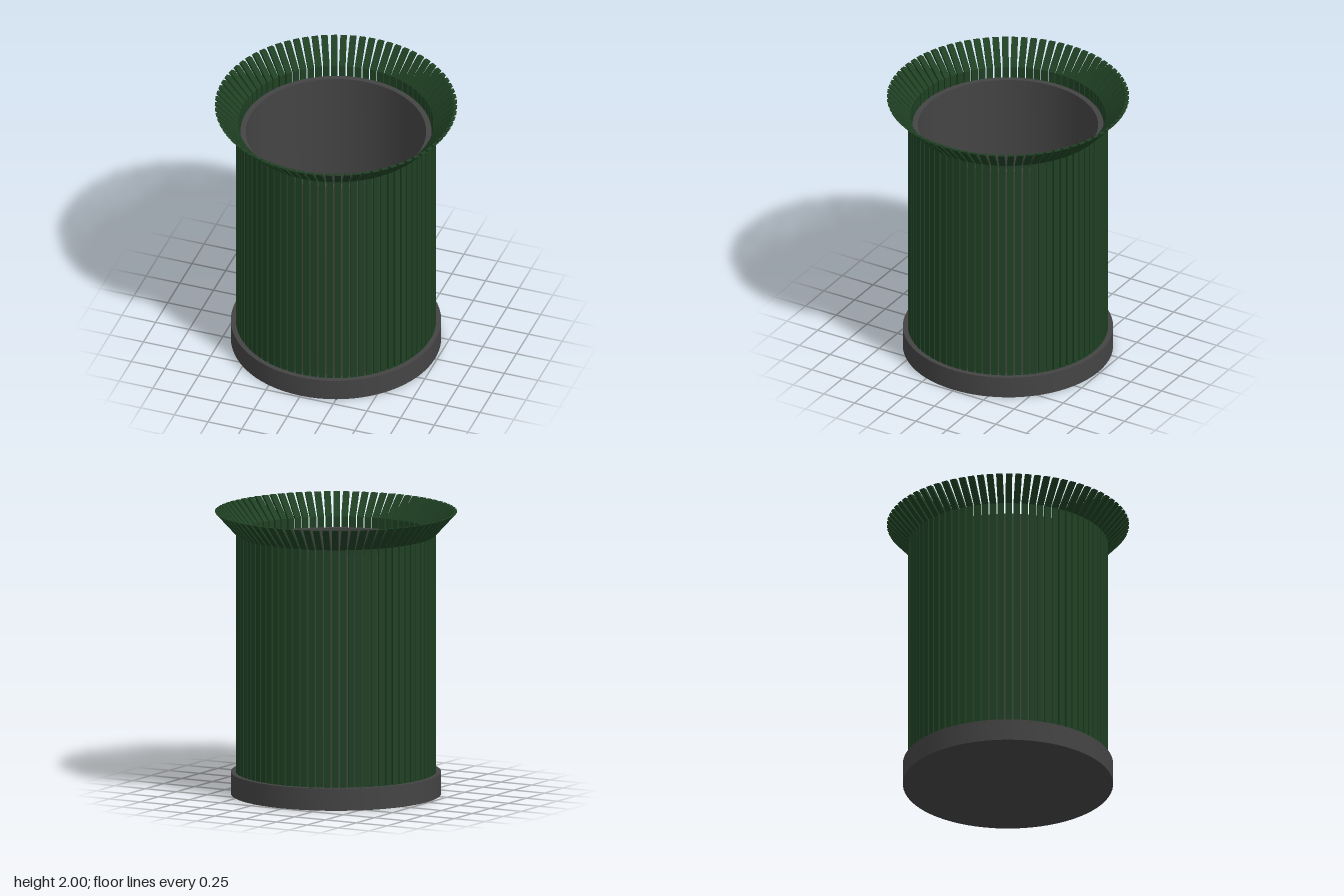
import * as THREE from 'three';
import { toCreasedNormals } from 'three/addons/utils/BufferGeometryUtils.js';

const SLATS = 78;
const SLAT_WIDTH = 0.045;

// Solid of revolution with sharp edges kept
function turned(points, material, name) {
  const profile = points.map(([x, y]) => new THREE.Vector2(x, y));
  const geometry = toCreasedNormals(new THREE.LatheGeometry(profile, 72), 0.6);
  const mesh = new THREE.Mesh(geometry, material);
  mesh.name = name;
  return mesh;
}

export function createModel() {
  const model = new THREE.Group();
  model.name = 'slattedBin';
  const grey = new THREE.MeshStandardMaterial({ color: 0x444444 });
  const green = new THREE.MeshStandardMaterial({ color: 0x1f4023 });

  // Round plinth
  model.add(turned([[0, 0], [0.735, 0], [0.735, 0.157], [0, 0.157]], grey, 'base'));

  // Open liner with wall thickness and floor
  model.add(turned([
    [0.668, 0.15], [0.668, 1.775], [0.63, 1.775], [0.63, 0.18], [0, 0.18],
  ], grey, 'liner'));

  // Side profile of one slat: upright, then flared outward at the top
  const profile = new THREE.Shape([
    [0.682, 0.157], [0.7, 0.157], [0.7, 1.84], [0.847, 2], [0.821, 2], [0.682, 1.848],
  ].map(([x, y]) => new THREE.Vector2(x, y)));
  const slatGeometry = new THREE.ExtrudeGeometry(profile, { depth: SLAT_WIDTH, bevelEnabled: false });
  slatGeometry.translate(0, 0, -SLAT_WIDTH / 2);

  // Ring of slats
  const slats = new THREE.Group();
  slats.name = 'slats';
  for (let i = 0; i < SLATS; i++) {
    const slat = new THREE.Mesh(slatGeometry, green);
    slat.name = 'slat';
    slat.rotation.y = (i / SLATS) * Math.PI * 2;
    slats.add(slat);
  }
  model.add(slats);

  return model;
}
